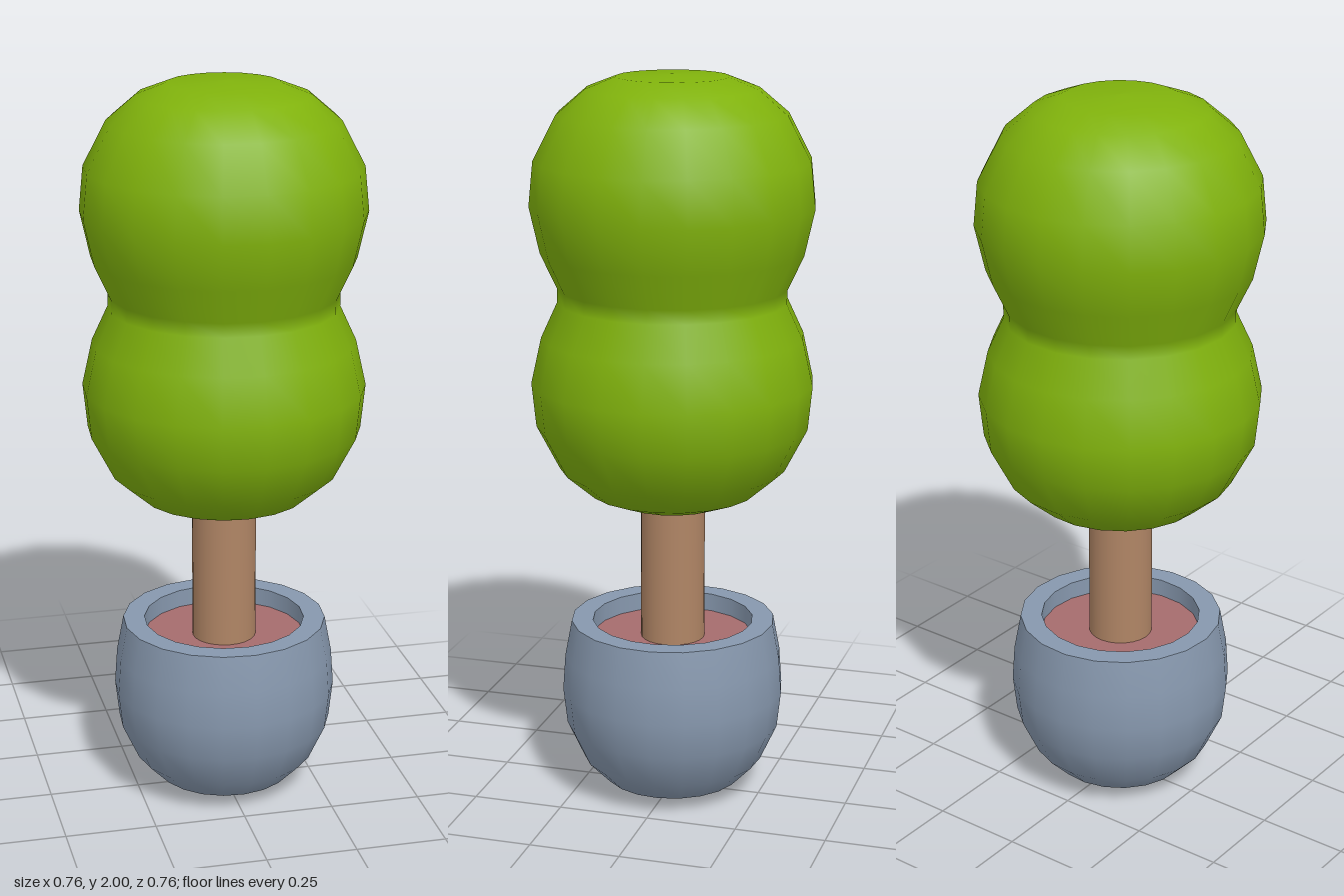
import * as THREE from 'three';

const SIDES = 20;
const TURN = 0.075; // slight twist of the rings about the y axis

const material = (name, color) => {
  const m = new THREE.MeshStandardMaterial({ color });
  m.name = name;
  return m;
};

export function createModel() {
  const model = new THREE.Group();
  model.name = 'pottedTopiary';

  const leafGreen = material('leaf green', 0x80b20c);
  const barkBrown = material('bark brown', 0xb08565);
  const potGrey = material('pot blue grey', 0x8798ae);
  const soilRed = material('soil red brown', 0xa56c6d);

  const add = (name, geometry, mat, parent = model) => {
    const mesh = new THREE.Mesh(geometry, mat);
    mesh.name = name;
    parent.add(mesh);
    return mesh;
  };
  const lathe = (points) =>
    new THREE.LatheGeometry(points.map(([r, y]) => new THREE.Vector2(r, y)), SIDES, TURN);

  // Foliage: two merged balls, mirrored about the waist
  const waist = 1.419;
  const lowerBall = [
    [0, 0.835], [0.15, 0.842], [0.23, 0.873], [0.308, 0.94], [0.37, 1.06],
    [0.382, 1.18], [0.354, 1.305], [0.31, 1.40],
  ];
  const upperBall = lowerBall.map(([r, y]) => [r, 2 * waist - y]).reverse();
  add('foliage', lathe([...lowerBall, ...upperBall]), leafGreen);

  // Trunk runs from the soil up into the foliage
  const trunk = add('trunk', new THREE.CylinderGeometry(0.088, 0.088, 0.55, 24), barkBrown);
  trunk.position.y = 0.7;

  // Pot: rounded bowl, flat rim and inner wall as separate shells to keep the edges sharp
  const pot = new THREE.Group();
  pot.name = 'pot';
  model.add(pot);
  add('potBowl', lathe([
    [0, 0.003], [0.125, 0.01], [0.19, 0.038], [0.25, 0.1], [0.296, 0.2],
    [0.307, 0.3], [0.3, 0.4], [0.281, 0.5],
  ]), potGrey, pot);
  add('potRim', lathe([[0.281, 0.5], [0.222, 0.5]]), potGrey, pot);
  add('potInnerWall', lathe([[0.222, 0.5], [0.222, 0.44]]), potGrey, pot);

  // Soil
  const soil = add('soil', new THREE.CircleGeometry(0.222, SIDES), soilRed);
  soil.rotation.set(-Math.PI / 2, 0, TURN);
  soil.position.y = 0.45;

  return model;
}
